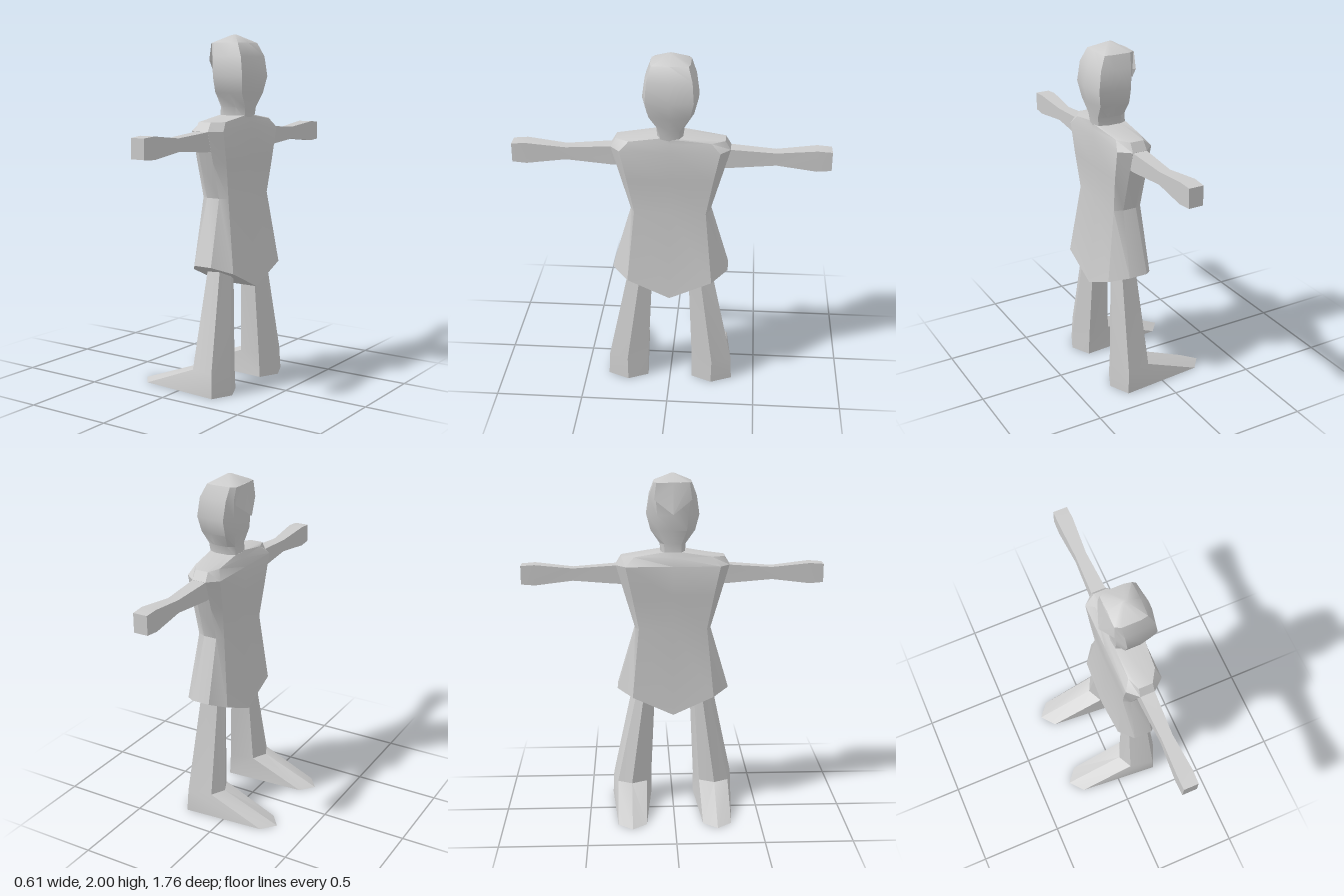
import * as THREE from 'three';
import { toCreasedNormals } from 'three/addons/utils/BufferGeometryUtils.js';

const material = new THREE.MeshStandardMaterial({ color: 0xcccccc });

// Closed solid through matching rings of [x, y, z] points; caps are strips
// that join point k to point n-1-k. Winding is set so that faces look outward.
function loft(name, rings, crease = 0.5) {
  const n = rings[0].length;
  const pts = rings.flat().map((p) => new THREE.Vector3(...p));
  const tris = [];
  const quad = (a, b, c, d) => tris.push([a, b, c], [a, c, d]);
  for (let r = 0; r < rings.length - 1; r++) {
    for (let i = 0; i < n; i++) {
      const j = (i + 1) % n;
      quad(r * n + i, r * n + j, (r + 1) * n + j, (r + 1) * n + i);
    }
  }
  const last = (rings.length - 1) * n;
  for (let k = 0; k < n / 2 - 1; k++) {
    quad(n - 1 - k, n - 2 - k, k + 1, k);
    quad(last + k, last + k + 1, last + n - 2 - k, last + n - 1 - k);
  }
  const centre = pts.reduce((s, p) => s.add(p), new THREE.Vector3()).divideScalar(pts.length);
  let volume = 0;
  for (const t of tris) {
    const [a, b, c] = t.map((i) => pts[i].clone().sub(centre));
    volume += a.dot(b.cross(c));
  }
  const index = tris.flatMap(([a, b, c]) => (volume < 0 ? [a, c, b] : [a, b, c]));
  const geo = new THREE.BufferGeometry().setFromPoints(pts);
  geo.setIndex(index);
  const mesh = new THREE.Mesh(toCreasedNormals(geo, crease), material);
  mesh.name = name;
  return mesh;
}

// Ten-sided body section, mirrored in z. The figure faces -x.
// front/back: middle x; fc/bc: corner [x, z]; side: [front x, back x, z]
function section(y, front, fc, side, bc, back, cornerY = y, middleY = y) {
  const [s0, s1, sz] = side;
  return [
    [s0, y, sz], [fc[0], cornerY, fc[1]], [front, middleY, 0], [fc[0], cornerY, -fc[1]], [s0, y, -sz],
    [s1, y, -sz], [bc[0], cornerY, -bc[1]], [back, middleY, 0], [bc[0], cornerY, bc[1]], [s1, y, sz],
  ];
}

// Leg section: ridge in front and behind, two corners on each side
const legRing = (y, x, z) => [
  [x[0], y, z[1]], [x[1], y, z[0]], [x[2], y, z[3]],
  [x[3], y, z[1]], [x[2], y, z[4]], [x[1], y, z[2]],
];

export function createModel() {
  const model = new THREE.Group();

  // Tunic with a hem that drops to a point in front and behind
  model.add(loft('tunic', [
    section(0.73, 0.03, [0.03, 0.24], [0.1, 0.21, 0.33], [0.298, 0.24], 0.298, 0.69, 0.58),
    section(1.1, 0.068, [0.07, 0.2], [0.11, 0.19, 0.222], [0.238, 0.2], 0.24),
    section(1.3, 0.05, [0.055, 0.238], [0.105, 0.19, 0.28], [0.25, 0.238], 0.25),
    section(1.475, 0.045, [0.045, 0.275], [0.105, 0.19, 0.33], [0.255, 0.275], 0.258),
    section(1.525, 0.062, [0.08, 0.225], [0.108, 0.188, 0.3], [0.235, 0.225], 0.256),
    section(1.553, 0.075, [0.08, 0.055], [0.12, 0.2, 0.07], [0.245, 0.055], 0.255),
  ]));

  // Neck and head
  model.add(loft('head', [
    section(1.54, 0.075, [0.08, 0.05], [0.12, 0.2, 0.07], [0.245, 0.05], 0.255),
    section(1.6, 0.08, [0.085, 0.05], [0.12, 0.2, 0.075], [0.252, 0.055], 0.265),
    section(1.68, 0.06, [0.068, 0.08], [0.1, 0.19, 0.128], [0.265, 0.11], 0.285),
    section(1.77, 0.06, [0.065, 0.09], [0.1, 0.19, 0.152], [0.28, 0.13], 0.306),
    section(1.88, 0.055, [0.06, 0.1], [0.09, 0.19, 0.136], [0.265, 0.122], 0.282),
    section(1.955, 0.05, [0.05, 0.09], [0.08, 0.19, 0.108], [0.23, 0.1], 0.235),
    section(2.0, 0.13, [0.132, 0.008], [0.136, 0.15, 0.01], [0.155, 0.008], 0.158),
  ], 0.6));

  // Pointed fringe over the face
  model.add(loft('fringe', [
    [[0.05, 1.953, 0.095], [0.045, 1.957, 0], [0.05, 1.953, -0.095], [0.09, 1.953, 0]],
    [[0.045, 1.86, 0.108], [0.005, 1.78, 0], [0.045, 1.86, -0.108], [0.08, 1.83, 0]],
  ]));

  for (const [side, s] of [['front', 1], ['far', -1]]) {
    const mirrored = (rings) => rings.map((ring) => ring.map(([x, y, z]) => [x, y, z * s]));

    // Arm: a square tube, narrow at the forearm: z, half depth, half height
    const arm = [
      [0.27, 0.042, 0.055], [0.33, 0.042, 0.054], [0.58, 0.032, 0.036],
      [0.8, 0.044, 0.06], [0.88, 0.042, 0.054],
    ].map(([z, w, h]) => [
      [0.147 - w, 1.42 - h, z], [0.147 + w, 1.42 - h, z],
      [0.147 + w, 1.42 + h, z], [0.147 - w, 1.42 + h, z],
    ]);
    model.add(loft(side + 'Arm', mirrored(arm), 0.4));

    // Leg and long pointed foot: z = inner front, middle, outer front, inner back, outer back
    const leg = [
      legRing(0.8, [0.092, 0.115, 0.205, 0.23], [0.12, 0.158, 0.195, 0.1, 0.222]),
      legRing(0.135, [0.047, 0.09, 0.235, 0.287], [0.16, 0.25, 0.335, 0.13, 0.362]),
      legRing(0, [-0.308, -0.24, 0.242, 0.297], [0.165, 0.247, 0.33, 0.13, 0.368]),
    ];
    model.add(loft(side + 'Leg', mirrored(leg), 0.4));
  }
  return model;
}
